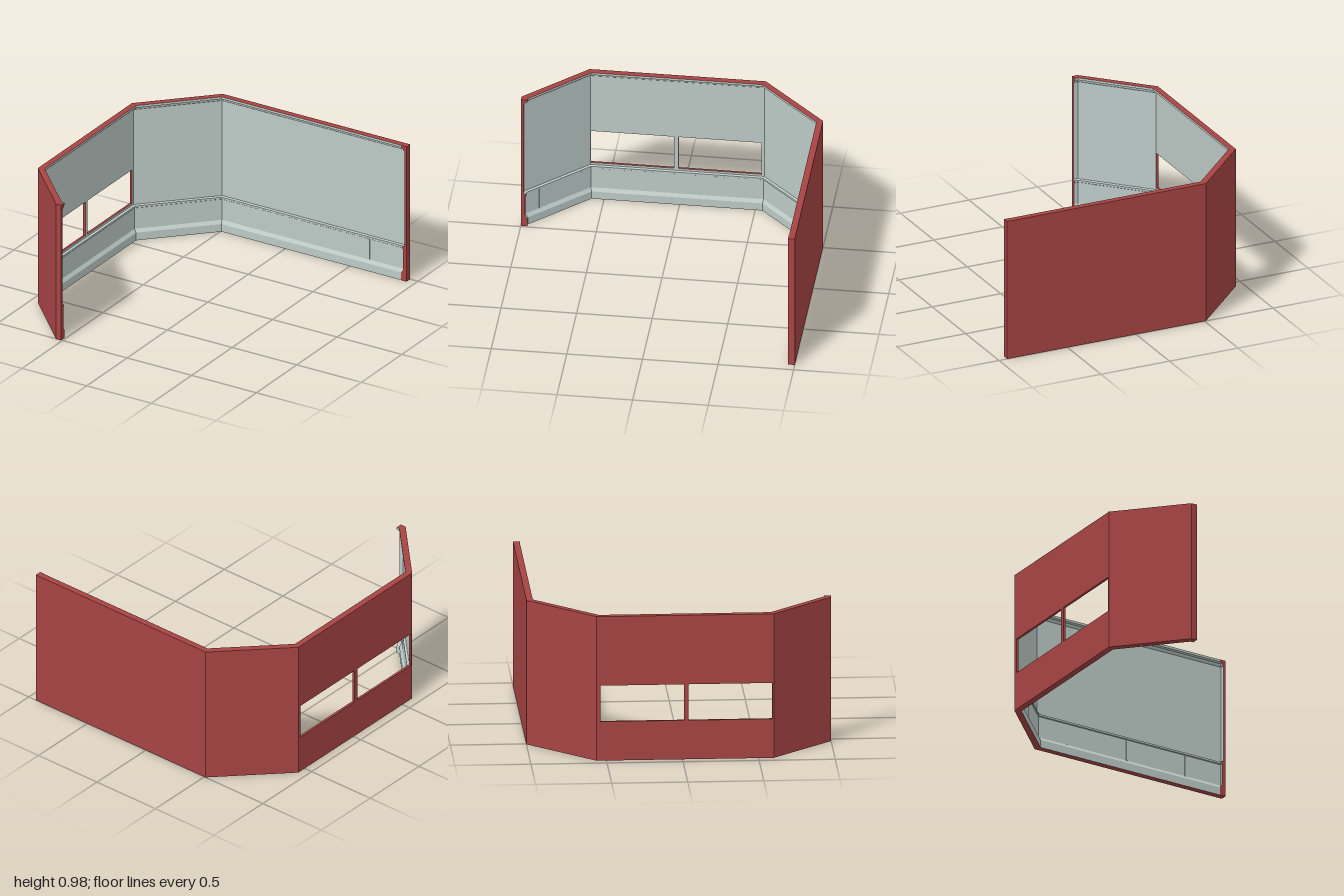
import * as THREE from 'three';

// Wall run in plan (outer corners as x, z) and its section (depth inward, height)
const path = [[0.94, -0.955], [0.94, -1], [-0.51, -1], [-0.94, -0.565], [-0.94, 0.6], [-0.55, 1], [-0.51, 1]]
  .map(p => new THREE.Vector2(...p));
const profile = [
  [0, 0], [0.043, 0], [0.043, 0.055], [0.027, 0.078], [0.027, 0.228], [0.033, 0.232], [0.033, 0.245],
  [0.017, 0.25], [0.017, 0.94], [0.024, 0.946], [0.028, 0.958], [0.043, 0.964], [0.043, 0.98], [0, 0.98],
].map(p => new THREE.Vector2(...p));
const WALL_EDGE = 7, OUTER_EDGE = profile.length - 1, WINDOW_SEGMENT = 3;
const windows = [[-0.54, 0.01], [0.04, 0.59]], SILL = 0.265, HEAD = 0.51;

const lining = new THREE.MeshStandardMaterial({ color: 0xbccac6 });
const shell = new THREE.MeshStandardMaterial({ color: 0xa84444 });

// Inward normal of each stretch, and mitred inward offset at each corner
const normals = path.slice(1).map((p, i) => {
  const d = p.clone().sub(path[i]).normalize();
  return new THREE.Vector2(d.y, -d.x);
});
const mitres = path.map((_, i) => {
  const a = normals[Math.max(i - 1, 0)], b = normals[Math.min(i, normals.length - 1)];
  return a.clone().add(b).divideScalar(1 + a.dot(b));
});
const at = (i, p) => [path[i].x + mitres[i].x * p.x, p.y, path[i].y + mitres[i].y * p.x];

// Collects flat faces into one mesh
class Faces {
  constructor() { this.data = []; }
  tri(a, b, c) { this.data.push(...a, ...b, ...c); }
  quad(a, b, c, d) { this.tri(a, b, c); this.tri(a, c, d); }
  polygon(contour, holes, map, flip) {
    const points = [contour, ...holes].flat();
    for (const [a, b, c] of THREE.ShapeUtils.triangulateShape(contour, holes)) {
      const t = [a, b, c].map(k => map(points[k]));
      if (flip) t.reverse();
      this.tri(...t);
    }
  }
  mesh(name, material) {
    const g = new THREE.BufferGeometry();
    g.setAttribute('position', new THREE.Float32BufferAttribute(this.data, 3));
    g.computeVertexNormals();
    const m = new THREE.Mesh(g, material);
    m.name = name;
    return m;
  }
}

export function createModel() {
  const group = new THREE.Group();
  group.name = 'roomWalls';
  const inner = new Faces(), outer = new Faces();
  const n = profile.length;

  // Section swept along the run, leaving out the two faces the windows pierce
  for (let i = 0; i < path.length - 1; i++) {
    for (let k = 0; k < n; k++) {
      if (i === WINDOW_SEGMENT && (k === WALL_EDGE || k === OUTER_EDGE)) continue;
      const p = profile[k], q = profile[(k + 1) % n];
      const faces = k > 0 && k < n - 2 ? inner : outer;
      faces.quad(at(i + 1, p), at(i, p), at(i, q), at(i + 1, q));
    }
  }

  // Cut ends of the run
  outer.polygon(profile, [], p => at(0, p), true);
  outer.polygon(profile, [], p => at(path.length - 1, p), false);

  // Window wall: pierced outer and inner faces
  const holes = () => windows.map(([a, b]) =>
    [[a, SILL], [a, HEAD], [b, HEAD], [b, SILL]].map(p => new THREE.Vector2(...p)));
  const pierced = (faces, low, high, flip) => {
    const a = at(WINDOW_SEGMENT, low), b = at(WINDOW_SEGMENT + 1, low);
    const contour = [[a[2], low.y], [b[2], low.y], [b[2], high.y], [a[2], high.y]].map(p => new THREE.Vector2(...p));
    faces.polygon(contour, holes(), p => [a[0], p.y, p.x], flip);
    return a[0];
  };
  const xOut = pierced(outer, profile[0], profile[n - 1], false);
  const xIn = pierced(inner, profile[WALL_EDGE], profile[WALL_EDGE + 1], true);

  // Window reveals
  for (const hole of holes()) {
    hole.forEach((p, j) => {
      const q = hole[(j + 1) % 4];
      outer.quad([xIn, p.y, p.x], [xIn, q.y, q.x], [xOut, q.y, q.x], [xOut, p.y, p.x]);
    });
  }

  group.add(inner.mesh('wallLining', lining), outer.mesh('wallShell', shell));

  // Upright battens dividing the dado: stretch index and fractions along it
  const battens = [[1, [0.207, 0.52, 0.838]], [2, [0.53]], [3, [0.288, 0.682]], [4, [0.15, 0.77]]];
  const battenShape = new THREE.BoxGeometry(0.01, 0.15, 0.006);
  for (const [i, fractions] of battens) {
    for (const t of fractions) {
      const p = path[i].clone().lerp(path[i + 1], t).addScaledVector(normals[i], 0.026);
      const batten = new THREE.Mesh(battenShape, lining);
      batten.name = 'dadoBatten';
      batten.position.set(p.x, 0.153, p.y);
      batten.rotation.y = Math.atan2(normals[i].x, normals[i].y);
      group.add(batten);
    }
  }
  return group;
}
